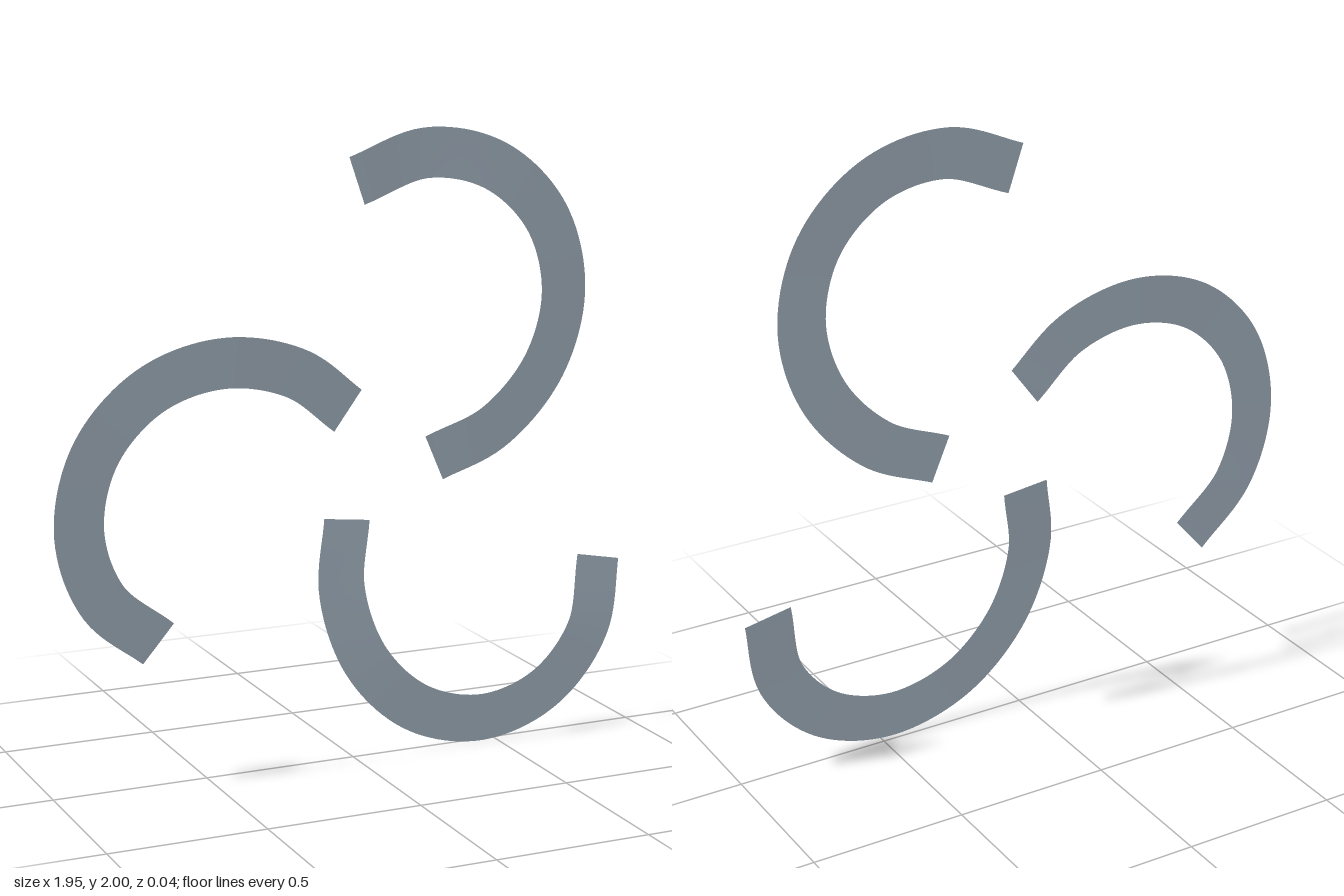
import * as THREE from 'three';

const WIDTH = 0.157;
const STEPS = 72;

// Centreline of one blade: polar samples [degrees, outer radius] about its own centre.
const SPIRAL = [[-85.5, 0.597], [-60, 0.572], [-30, 0.557], [0, 0.555], [30, 0.553], [60, 0.545], [90, 0.531], [121.4, 0.516]];
const CENTRE = new THREE.Vector3(0.16, 0.515, 0);

function bladeGeometry() {
  const path = new THREE.CatmullRomCurve3(SPIRAL.map(([deg, r]) => {
    const a = THREE.MathUtils.degToRad(deg);
    const m = r - WIDTH / 2;
    return new THREE.Vector3(Math.cos(a) * m, Math.sin(a) * m, 0).add(CENTRE);
  }), false, 'centripetal');

  // Plane strip bent along the path; both ends dip gently backwards.
  const geo = new THREE.PlaneGeometry(1, 1, STEPS, 1);
  const pos = geo.attributes.position;
  for (let i = 0; i < pos.count; i++) {
    const u = THREE.MathUtils.clamp(pos.getX(i) + 0.5, 0, 1);
    const p = path.getPointAt(u);
    const t = path.getTangentAt(u);
    const side = pos.getY(i) * WIDTH;
    const s = 2 * u - 1;
    pos.setXYZ(i, p.x - t.y * side, p.y + t.x * side, 0.019 - 0.039 * s * s);
  }
  geo.computeVertexNormals();
  return geo;
}

export function createModel() {
  const model = new THREE.Group();
  model.name = 'threeBladeSpiral';
  const blueGrey = new THREE.MeshStandardMaterial({ color: 0xa9b8c6, side: THREE.DoubleSide });
  blueGrey.name = 'blueGrey';

  // Three equal blades turned about the hub point
  const geo = bladeGeometry();
  ['upperBlade', 'leftBlade', 'lowerBlade'].forEach((name, i) => {
    const blade = new THREE.Mesh(geo, blueGrey);
    blade.name = name;
    blade.position.set(0.09, 0.955, 0);
    blade.rotation.z = i * Math.PI * 2 / 3;
    model.add(blade);
  });
  return model;
}
